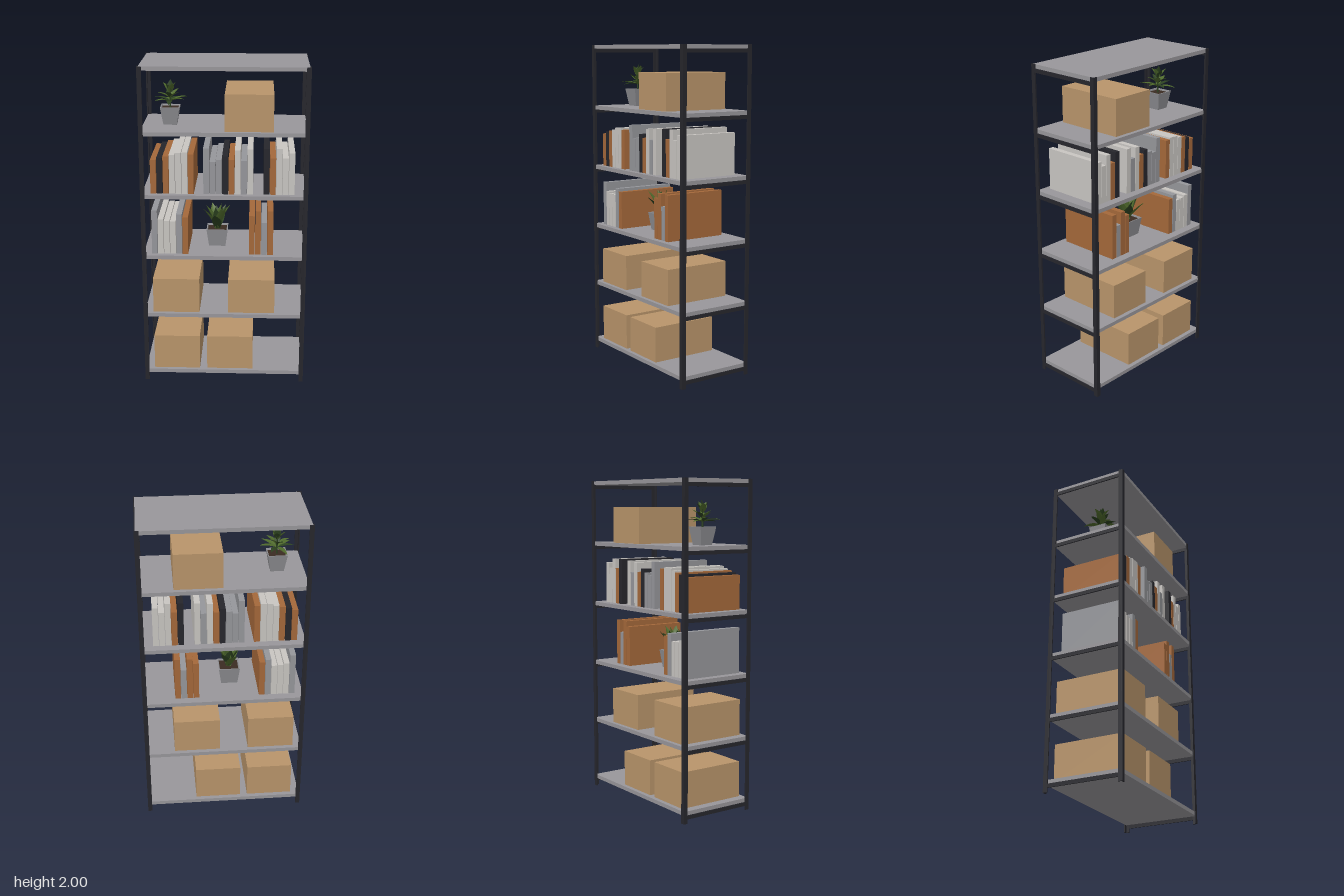
import * as THREE from 'three';

const mat = (name, color, side = THREE.FrontSide) => {
  const m = new THREE.MeshStandardMaterial({ color, side });
  m.name = name;
  return m;
};

export function createModel() {
  const M = {
    shelf: mat('shelf grey', 0x98969a),
    frame: mat('frame black', 0x26262c),
    card: mat('cardboard', 0xb8946a),
    light: mat('light grey book', 0xc8c5c1),
    grey: mat('mid grey book', 0x95969a),
    orange: mat('rust book', 0xa4683a),
    pot: mat('pot grey', 0x8e8e92),
    soil: mat('soil brown', 0x3a2c22),
    leaf: mat('leaf green', 0x4f6a2c, THREE.DoubleSide),
    darkLeaf: mat('dark leaf green', 0x2c4220, THREE.DoubleSide),
  };
  const root = new THREE.Group();
  root.name = 'shelvingUnit';

  const add = (parent, name, geo, material, x = 0, y = 0, z = 0) => {
    const m = new THREE.Mesh(geo, material);
    m.name = name;
    m.position.set(x, y, z);
    parent.add(m);
    return m;
  };
  const group = (name, x = 0, y = 0, z = 0) => {
    const g = new THREE.Group();
    g.name = name;
    g.position.set(x, y, z);
    root.add(g);
    return g;
  };
  // Box given by its limits
  const block = (parent, name, material, x0, x1, y0, y1, z0, z1) =>
    add(parent, name, new THREE.BoxGeometry(x1 - x0, y1 - y0, z1 - z0), material,
      (x0 + x1) / 2, (y0 + y1) / 2, (z0 + z1) / 2);

  // Frame: four angle-iron posts
  const HX = 0.5, HZ = 0.247, T = 0.007, W = 0.027;
  const frame = group('frame');
  for (const sx of [-1, 1]) for (const sz of [-1, 1]) {
    const pts = [[HX, HZ], [HX - W, HZ], [HX - W, HZ - T], [HX - T, HZ - T], [HX - T, HZ - W], [HX, HZ - W]];
    const s = new THREE.Shape(pts.map(([x, z]) => new THREE.Vector2(x * sx, -z * sz)));
    const geo = new THREE.ExtrudeGeometry(s, { depth: 2, bevelEnabled: false });
    geo.rotateX(-Math.PI / 2);
    add(frame, 'post', geo, M.frame);
  }

  // Shelves with end rails below them
  const tops = [0.073, 0.46, 0.845, 1.23, 1.615, 1.999];
  for (const y of tops) {
    block(root, 'shelf', M.shelf, -HX + T, HX - T, y - 0.024, y, -HZ + T * 0.7, HZ - T * 0.7);
    for (const s of [-1, 1]) {
      add(frame, 'endRail', new THREE.BoxGeometry(T, 0.023, 2 * (HZ - W)), M.frame,
        s * (HX - T / 2), y - 0.0355, 0);
    }
  }

  // Cardboard boxes: shelf index, left edge
  for (const [i, x] of [[0, -0.44], [0, -0.107], [1, -0.44], [1, 0.025], [4, 0.004]]) {
    block(root, 'cardboardBox', M.card, x, x + 0.287, tops[i], tops[i] + 0.221, -0.215, 0.218);
  }

  // Rows of books: each book is [colour, height]
  const books = (shelf, x0, list) => {
    const g = group('bookRow');
    list.forEach(([c, h], i) => {
      const x = x0 + i * 0.0375;
      block(g, 'book', M[c], x, x + 0.0345, tops[shelf], tops[shelf] + h, -0.19, 0.207);
    });
  };
  books(3, -0.441, [['orange', 0.207], ['frame', 0.22], ['orange', 0.23], ['light', 0.24],
    ['light', 0.253], ['light', 0.255], ['orange', 0.245]]);
  books(3, -0.124, [['grey', 0.282], ['grey', 0.2], ['grey', 0.213], ['frame', 0.234],
    ['orange', 0.213], ['light', 0.27], ['grey', 0.207], ['light', 0.277]]);
  books(3, 0.236, [['frame', 0.282], ['orange', 0.224], ['light', 0.282], ['light', 0.224], ['light', 0.255]]);
  books(2, -0.441, [['grey', 0.277], ['light', 0.221], ['light', 0.211], ['light', 0.208],
    ['grey', 0.253], ['orange', 0.235]]);
  books(2, 0.151, [['orange', 0.248], ['orange', 0.28], ['grey', 0.205], ['orange', 0.28]]);

  // Square tapered pot with a rim and soil
  const pot = (g, top, bottom, h) => {
    const r = Math.SQRT1_2 * 2;
    const profile = [[0, 0], [bottom, 0], [top, h], [top - 0.006, h], [top - 0.009, h - 0.012]]
      .map(([x, y]) => new THREE.Vector2(x * r, y));
    const geo = new THREE.LatheGeometry(profile, 4, Math.PI / 4).toNonIndexed();
    geo.computeVertexNormals();
    add(g, 'pot', geo, M.pot);
    add(g, 'soil', new THREE.BoxGeometry(2 * top - 0.017, 0.004, 2 * top - 0.017), M.soil, 0, h - 0.012, 0);
  };

  // Folded leaf blade: lean is measured from vertical, bend is added towards the tip
  const leaf = (g, len, width, lean, bend, turn, y, material, base = 0.1) => {
    const n = 5, pos = [], idx = [];
    let r = 0, h = 0;
    for (let i = 0; i <= n; i++) {
      const t = i / n, a = lean + bend * t;
      const w = width / 2 * (i === n ? 0 : Math.max(base, Math.sin(Math.PI * Math.pow(t, 0.8))));
      const lift = w * 0.35;
      for (const s of [-1, 0, 1]) {
        const k = s === 0 ? 0 : lift;
        pos.push(r - k * Math.cos(a), h + k * Math.sin(a), s * w);
      }
      r += Math.sin(a) * len / n;
      h += Math.cos(a) * len / n;
      if (i < n) for (const j of [0, 1]) {
        const p = i * 3 + j;
        idx.push(p, p + 1, p + 3, p + 1, p + 4, p + 3);
      }
    }
    const geo = new THREE.BufferGeometry();
    geo.setAttribute('position', new THREE.Float32BufferAttribute(pos, 3));
    geo.setIndex(idx);
    geo.computeVertexNormals();
    add(g, 'leaf', geo, material, 0, y, 0).rotation.y = turn;
  };
  const ring = (g, count, start, len, width, lean, bend, y, base) => {
    for (let i = 0; i < count; i++) {
      leaf(g, len * (1 - 0.1 * (i % 2)), width, lean + 0.12 * (i % 3 - 1), bend,
        start + i * Math.PI * 2 / count, y, i % 2 ? M.darkLeaf : M.leaf, base);
    }
  };

  // Stemmed plant on the upper shelf
  const tall = group('stemmedPlant', -0.33, tops[4], 0.01);
  pot(tall, 0.058, 0.04, 0.107);
  add(tall, 'stem', new THREE.CylinderGeometry(0.004, 0.006, 0.11, 6), M.darkLeaf, 0, 0.145, 0);
  ring(tall, 7, 0.2, 0.115, 0.034, 1.25, 0.5, 0.135);
  ring(tall, 5, 0.7, 0.085, 0.034, 0.85, 0.4, 0.155);
  ring(tall, 5, 0.1, 0.08, 0.04, 0.55, 0.1, 0.185);
  leaf(tall, 0.078, 0.042, 0.1, 0.1, 1.2, 0.19, M.darkLeaf);

  // Broad-leaved plant on the middle shelf
  const broad = group('broadLeavedPlant', -0.048, tops[2], 0.01);
  pot(broad, 0.066, 0.051, 0.11);
  ring(broad, 7, 0.1, 0.185, 0.062, 0.5, 0.2, 0.09, 0.5);
  ring(broad, 5, 0.5, 0.17, 0.06, 0.2, 0.25, 0.09, 0.5);

  return root;
}
